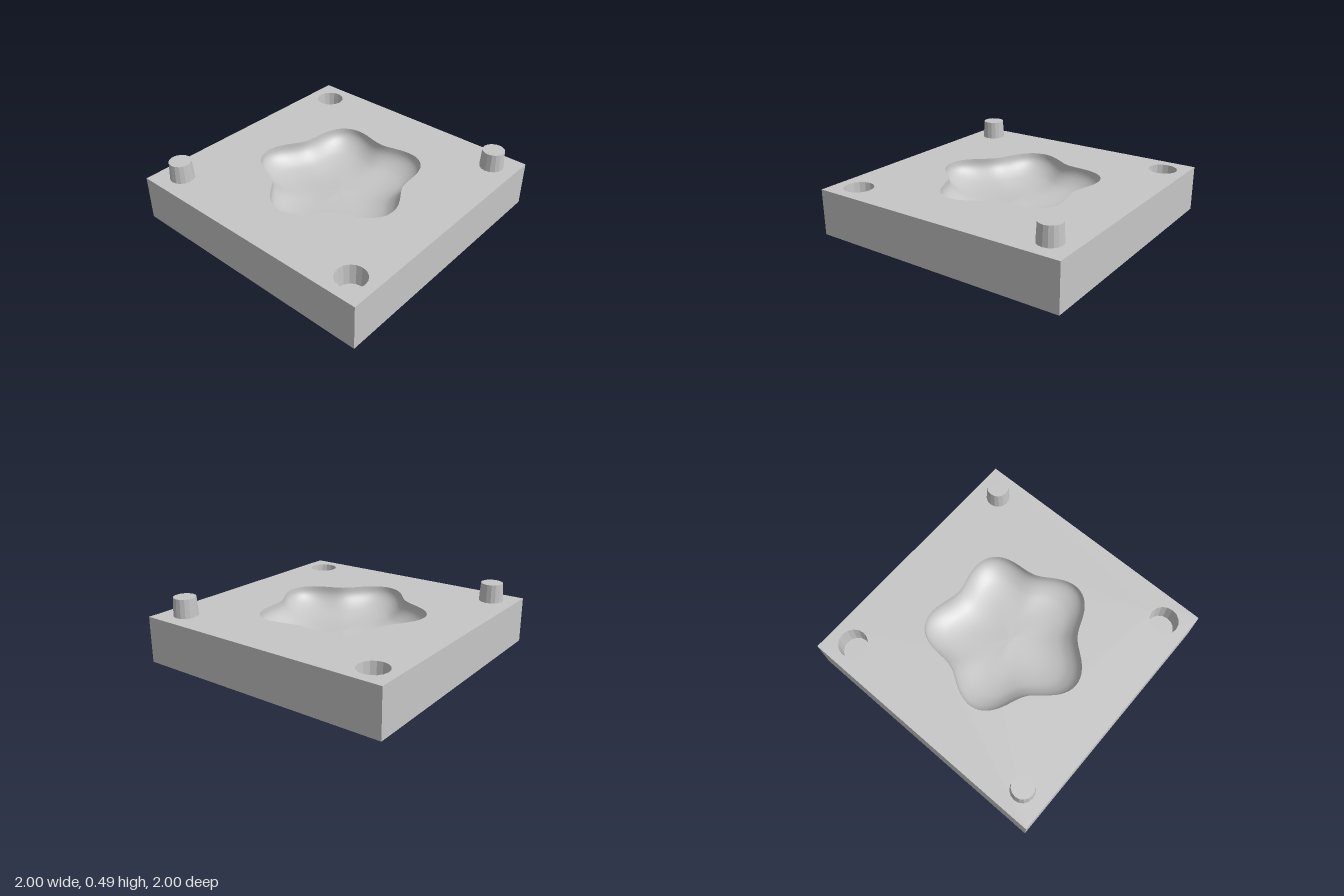
import * as THREE from 'three';
import { mergeVertices } from 'three/addons/utils/BufferGeometryUtils.js';

const TOP = 0.35;          // height of the plate's upper face
const PIN = 0.815;         // offset of pegs and sockets from the centre
const STAR_SEGMENTS = 120;
const PIN_SEGMENTS = 16;
const SOCKET_RADIUS = 0.11;

// rounded five-armed outline, one arm pointing to the front
const starRadius = (a) => 0.567 + 0.063 * Math.cos(5 * a);

// closed outline for a hole, on the flat shape plane (shape y becomes -z)
function outline(segments, radius, cx = 0, cz = 0) {
  const points = [];
  for (let i = 0; i < segments; i++) {
    const a = (i / segments) * Math.PI * 2;
    points.push(new THREE.Vector2(cx + radius(a) * Math.sin(a), -(cz + radius(a) * Math.cos(a))));
  }
  return new THREE.Path(points);
}

export function createModel() {
  const model = new THREE.Group();
  model.name = 'mouldHalf';
  const grey = new THREE.MeshStandardMaterial({ color: 0xc6c6c6 });
  grey.name = 'grey';
  const greyFlat = grey.clone();
  greyFlat.flatShading = true;

  const add = (name, geometry, material, x = 0, y = 0, z = 0) => {
    const mesh = new THREE.Mesh(geometry, material);
    mesh.name = name;
    mesh.position.set(x, y, z);
    model.add(mesh);
  };

  // plate body: a box without its upper face
  const body = new THREE.BoxGeometry(2, TOP, 2);
  const index = Array.from(body.index.array);
  index.splice(12, 6);
  body.setIndex(index);
  body.clearGroups();
  add('plateBody', body, grey, 0, TOP / 2, 0);

  // upper face, pierced by the cavity and the two sockets
  const face = new THREE.Shape([
    new THREE.Vector2(-1, -1), new THREE.Vector2(1, -1),
    new THREE.Vector2(1, 1), new THREE.Vector2(-1, 1),
  ]);
  face.holes.push(outline(STAR_SEGMENTS, starRadius));
  for (const s of [-1, 1]) {
    face.holes.push(outline(PIN_SEGMENTS, () => SOCKET_RADIUS, s * PIN, s * PIN));
  }
  const faceGeometry = new THREE.ShapeGeometry(face);
  faceGeometry.rotateX(-Math.PI / 2);
  add('plateTop', faceGeometry, grey, 0, TOP, 0);

  // star cavity: a bowl profile turned, then stretched to the star outline
  const profile = new THREE.SplineCurve([
    [1, 0], [0.99, -0.045], [0.95, -0.085], [0.87, -0.125],
    [0.75, -0.16], [0.55, -0.184], [0.3, -0.19], [0, -0.183],
  ].map(([r, y]) => new THREE.Vector2(r, y))).getPoints(28);
  profile[profile.length - 1].x = 0;
  let cavity = new THREE.LatheGeometry(profile, STAR_SEGMENTS);
  const p = cavity.attributes.position;
  for (let i = 0; i < p.count; i++) {
    const s = starRadius(Math.atan2(p.getX(i), p.getZ(i)));
    p.setX(i, p.getX(i) * s);
    p.setZ(i, p.getZ(i) * s);
  }
  cavity.deleteAttribute('uv');
  cavity.deleteAttribute('normal');
  cavity = mergeVertices(cavity, 1e-5);
  cavity.computeVertexNormals();
  add('starCavity', cavity, grey, 0, TOP, 0);

  // locating pegs and sockets on opposite diagonals
  const peg = new THREE.CylinderGeometry(0.083, 0.091, 0.14, PIN_SEGMENTS);
  const socket = new THREE.LatheGeometry([
    new THREE.Vector2(SOCKET_RADIUS, 0),
    new THREE.Vector2(0.1, -0.15),
    new THREE.Vector2(0, -0.15),
  ], PIN_SEGMENTS);
  for (const s of [-1, 1]) {
    add(s > 0 ? 'backPeg' : 'frontPeg', peg, greyFlat, s * PIN, TOP + 0.07, -s * PIN);
    add(s > 0 ? 'frontSocket' : 'backSocket', socket, greyFlat, s * PIN, TOP, s * PIN);
  }
  return model;
}
